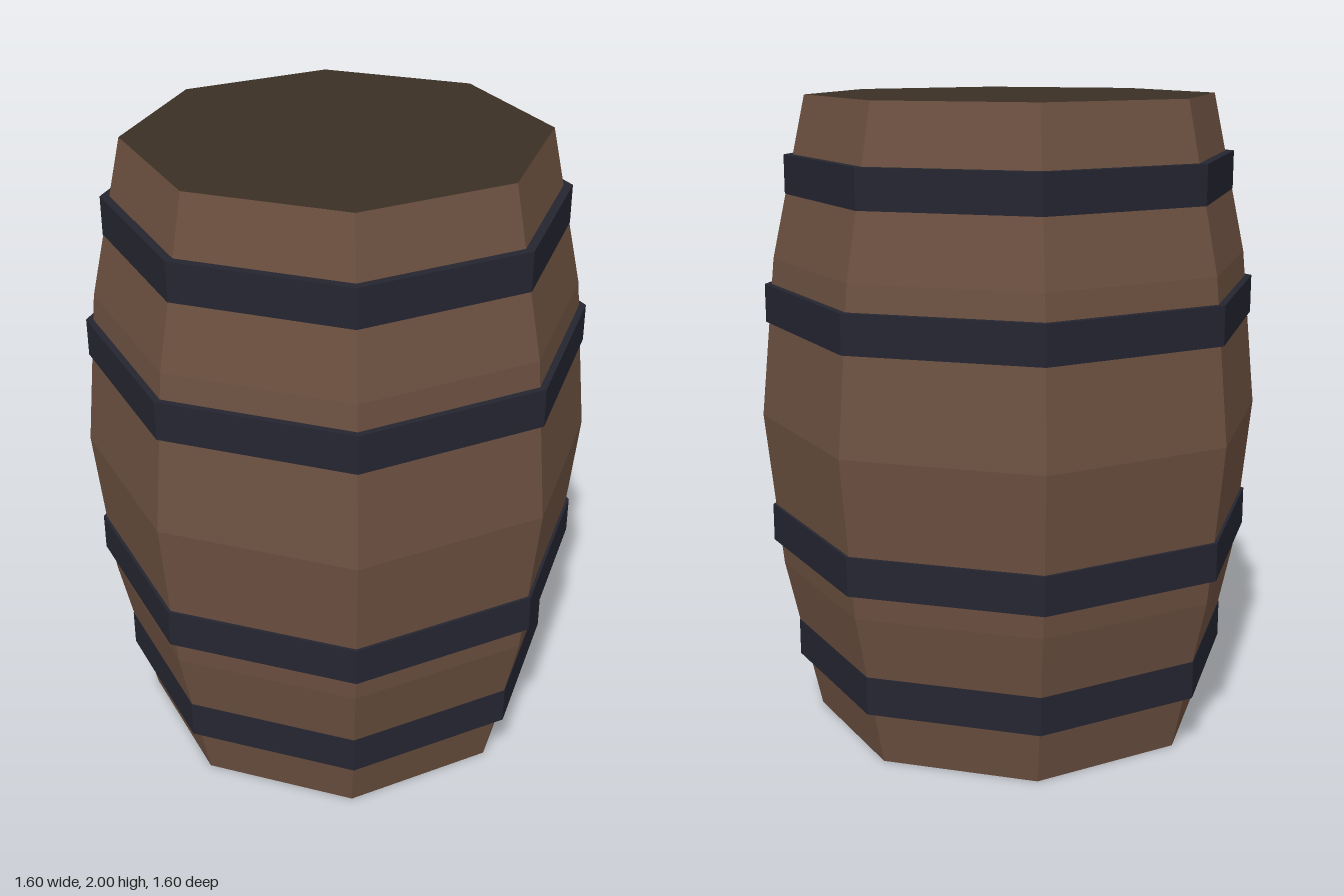
import * as THREE from 'three';

const SIDES = 8;

function material(name, color) {
  return new THREE.MeshStandardMaterial({ name, color, flatShading: true });
}

function addMesh(parent, name, geometry, mat) {
  const mesh = new THREE.Mesh(geometry, mat);
  mesh.name = name;
  parent.add(mesh);
  return mesh;
}

// Eight-sided surface turned from [radius, height] pairs, listed bottom to top.
function turned(profile) {
  return new THREE.LatheGeometry(profile.map(([r, y]) => new THREE.Vector2(r, y)), SIDES);
}

export function createModel() {
  const wood = material('stave wood', 0x6c5040);
  const headWood = material('dark head wood', 0x3a3024);
  const iron = material('hoop iron', 0x242530);

  const barrel = new THREE.Group();
  barrel.name = 'barrel';

  // Bulging stave wall
  addMesh(barrel, 'staves', turned([[0.64, 0], [0.75, 0.5], [0.8, 1], [0.75, 1.5], [0.64, 2]]), wood);

  // Flat heads closing both ends
  const head = new THREE.CircleGeometry(0.64, SIDES);
  const topHead = addMesh(barrel, 'topHead', head, headWood);
  topHead.rotation.x = -Math.PI / 2;
  topHead.position.y = 2;
  addMesh(barrel, 'bottomHead', head, headWood).rotation.x = Math.PI / 2;

  // Hoops, mirrored about mid-height
  const hoops = [{ name: 'EndHoop', y: 0.76, radius: 0.708 }, { name: 'MiddleHoop', y: 0.36, radius: 0.78 }];
  for (const { name, y, radius } of hoops) {
    const inner = radius - 0.09;
    const ring = turned([[inner, -0.06], [radius, -0.06], [radius, 0.06], [inner, 0.06]]);
    for (const [side, sign] of [['lower', -1], ['upper', 1]]) {
      addMesh(barrel, side + name, ring, iron).position.y = 1 + sign * y;
    }
  }

  return barrel;
}
